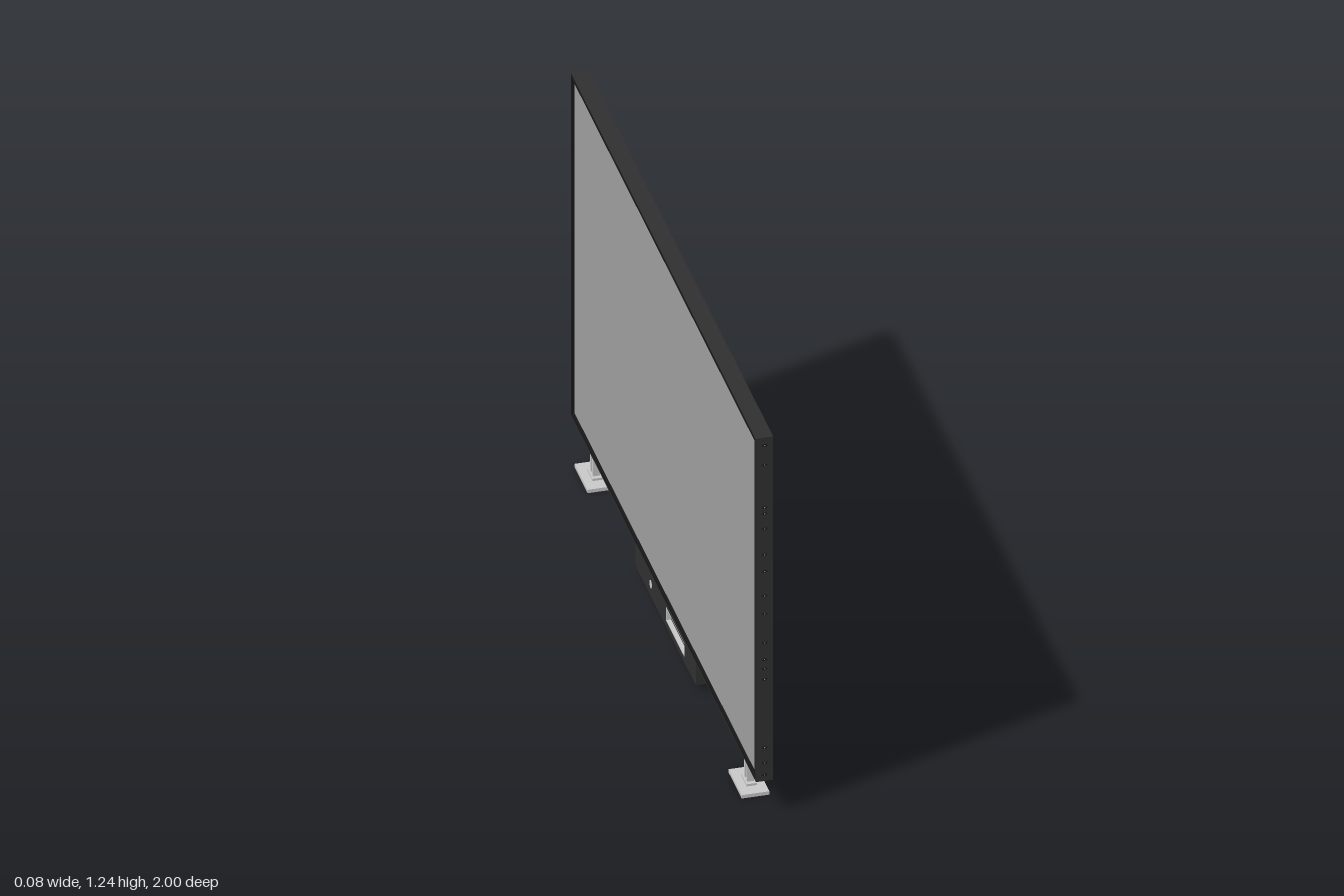
import * as THREE from 'three';

const mat = (name, color) => Object.assign(new THREE.MeshStandardMaterial({ color }), { name });

export function createModel() {
  const root = new THREE.Group();
  root.name = 'flatDisplay';
  const body = mat('charcoal casing', 0x303030);
  const black = mat('black trim', 0x171717);
  const glass = mat('grey screen', 0x9e9e9e);
  const silver = mat('silver metal', 0xc8c8c8);

  const add = (parent, name, geo, material, x = 0, y = 0, z = 0) => {
    const m = new THREE.Mesh(geo, material);
    m.name = name;
    m.position.set(x, y, z);
    parent.add(m);
    return m;
  };

  // Rectangles are [z0, z1, y0, y1]; a slab is a rectangle with holes, thick along x
  const corners = ([z0, z1, y0, y1]) =>
    [[-z1, y0], [-z0, y0], [-z0, y1], [-z1, y1]].map(([u, v]) => new THREE.Vector2(u, v));
  const slab = (parent, name, rect, holes, x0, x1, material) => {
    const shape = new THREE.Shape(corners(rect));
    holes.forEach(h => shape.holes.push(new THREE.Path(corners(h).reverse())));
    const geo = new THREE.ExtrudeGeometry(shape, { depth: x1 - x0, bevelEnabled: false });
    geo.rotateY(Math.PI / 2);
    return add(parent, name, geo, material, x0);
  };
  const around = (z, y, w, h) => [z - w / 2, z + w / 2, y - h / 2, y + h / 2];
  const inset = ([a, b, c, d], t) => [a + t, b - t, c + t, d - t];

  // Casing with mounting pockets and a shallow cable channel in its back
  const outline = [-1, 1, 0.11, 1.24];
  const mounts = [[0.06, 0.747], [-0.175, 0.747], [0.13, 0.524], [0.13, 0.366], [-0.175, 0.366]];
  const pockets = mounts.map(([z, y]) => around(z, y, 0.03, 0.036));
  const channel = [-0.073, 0.03, 0.33, 0.785];
  slab(root, 'casingCore', outline, [], -0.015, 0.013, body);
  slab(root, 'casingMiddle', outline, pockets, 0.013, 0.02, body);
  slab(root, 'casingBack', outline, [...pockets, channel], 0.02, 0.025, body);
  mounts.forEach(([z, y]) =>
    add(root, 'mountBolt', new THREE.BoxGeometry(0.006, 0.02, 0.015), silver, 0.016, y, z));

  // Screen sunk inside a thin dark bezel
  const rim = inset(outline, 0.004), opening = inset(outline, 0.015);
  slab(root, 'casingRim', outline, [rim], -0.025, -0.015, body);
  slab(root, 'bezel', rim, [opening], -0.025, -0.015, black);
  slab(root, 'screen', opening, [], -0.018, -0.015, glass);

  // Corner screws on the back
  for (const z of [-0.968, 0.968]) for (const y of [0.142, 1.212]) {
    const screw = add(root, 'cornerScrew', new THREE.CylinderGeometry(0.009, 0.009, 0.002, 16), black, 0.025, y, z);
    screw.rotation.z = Math.PI / 2;
    const slot = add(root, 'screwCentre', new THREE.CylinderGeometry(0.005, 0.005, 0.003, 12), body, 0.025, y, z);
    slot.rotation.z = Math.PI / 2;
  }

  // Row of small fasteners down both end faces
  const rows = [0.13, 0.17, 0.22, 0.445, 0.48, 0.51, 0.565, 0.66, 0.72, 0.8, 0.855, 0.94, 0.99, 1.01, 1.15, 1.215];
  for (const s of [-1, 1]) for (const y of rows) {
    const ring = add(root, 'endFastener', new THREE.CylinderGeometry(0.008, 0.008, 0.002, 12), black, 0, y, s * 0.9995);
    ring.rotation.x = Math.PI / 2;
    ring.scale.z = 0.5;
    const pin = add(root, 'fastenerPin', new THREE.CylinderGeometry(0.002, 0.002, 0.002, 8), glass, 0, y, s * 0.9998);
    pin.rotation.x = Math.PI / 2;
  }

  // Control box below the casing, with a grip recess in front and ports behind
  const box = new THREE.Group();
  box.name = 'controlBox';
  root.add(box);
  const boxRect = [-0.325, 0.325, 0.02, 0.11];
  const grip = [0, 0.205, 0.036, 0.084];
  const ports = [-0.265, -0.163, 0.046, 0.093];
  slab(box, 'boxCore', boxRect, [], -0.004, 0.012, body);
  slab(box, 'boxFront', boxRect, [grip], -0.018, -0.004, body);
  slab(box, 'gripLining', grip, [inset(grip, 0.006)], -0.017, -0.004, silver);
  slab(box, 'boxBack', boxRect, [ports], 0.012, 0.018, body);
  slab(box, 'portPanel', ports, [], 0.012, 0.0135, black);
  for (let i = 0; i < 5; i++) for (const y of [0.06, 0.078])
    add(box, 'port', new THREE.BoxGeometry(0.003, 0.006, 0.007), silver, 0.0145, y, -0.248 + i * 0.017);
  const sensor = add(box, 'sensor', new THREE.CylinderGeometry(0.012, 0.012, 0.003, 20), silver, -0.018, 0.06, -0.16);
  sensor.rotation.z = Math.PI / 2;

  // Two feet: flat plate, small step and an H-section post
  for (const s of [-1, 1]) {
    const foot = new THREE.Group();
    foot.name = s > 0 ? 'frontFoot' : 'backFoot';
    foot.position.z = s * 0.832;
    root.add(foot);
    add(foot, 'footPlate', new THREE.BoxGeometry(0.08, 0.011, 0.142), silver, 0, 0.0055, 0);
    add(foot, 'footStep', new THREE.BoxGeometry(0.03, 0.007, 0.06), silver, 0, 0.0145, 0);
    for (const t of [-1, 1])
      add(foot, 'postFlange', new THREE.BoxGeometry(0.02, 0.092, 0.009), silver, 0, 0.064, t * 0.0125);
    add(foot, 'postWeb', new THREE.BoxGeometry(0.01, 0.092, 0.016), silver, 0, 0.064, 0);
    add(foot, 'postCap', new THREE.BoxGeometry(0.02, 0.012, 0.034), silver, 0, 0.104, 0);
  }
  return root;
}
